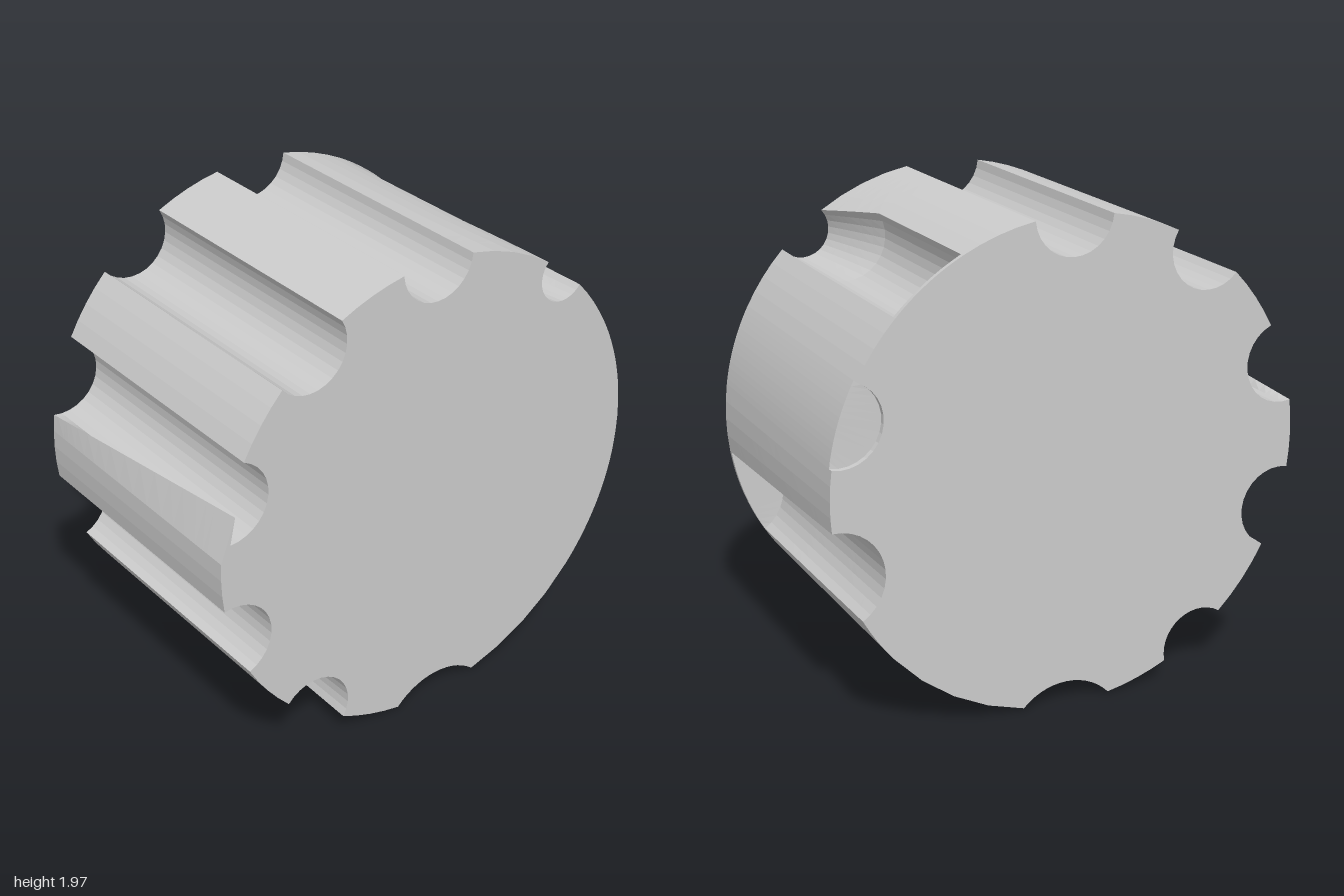
import * as THREE from 'three';

const CENTRE_Y = 0.98, ARC = 14, BODY = 4;
const rad = THREE.MathUtils.degToRad;
const mix = THREE.MathUtils.lerp;
const polar = (a, r = 1) => new THREE.Vector2(r * Math.cos(a), r * Math.sin(a));

// Flutes anticlockwise: front and back [angle, centre distance, radius];
// "open" gives the z range outside which the flute is plugged
const FLUTES = [
  { front: [18, 1, 0.17], open: [-1, -0.575] },
  { front: [50, 0.99, 0.115], back: [53, 1, 0.17], blendEnd: 0.2, open: [-0.58, 1] },
  { front: [90, 1, 0.165] },
  { front: [126, 1, 0.165] },
  { front: [162, 1, 0.17], fin: true },
  { front: [198, 1, 0.17] },
  { front: [234.5, 1, 0.165], back: [235.4, 1.05, 0.165] },
  { front: [272.5, 1.185, 0.285], back: [271, 1.16, 0.26] },
  { pocket: true },
  { front: [340, 1.03, 0.2], back: [343, 1.03, 0.2], open: [-1, 0.58] },
];

// Wedge-shaped scoop whose rim is a half disc along z
function pocketPoints(z) {
  const t = Math.sqrt(Math.max(0, 1 - (z / 0.52) ** 2));
  const end = rad(319.4), start = end - rad(18) * t;
  const top = polar(end);
  const foot = top.clone().lerp(new THREE.Vector2(0.47, -0.79), t);
  const points = [polar(start)];
  for (let i = 0; i < ARC; i++) points.push(foot.clone().lerp(top, i / (ARC - 1)));
  return { points, start, end };
}

// Circular cut into the round body, or the plain rim where it is plugged
function flutePoints(f, z) {
  if (f.pocket) return pocketPoints(z);
  const blend = THREE.MathUtils.clamp((0.6 - z) / (0.6 - (f.blendEnd ?? -0.6)), 0, 1);
  const [deg, d, r] = f.front.map((v, i) => mix(v, (f.back ?? f.front)[i], blend));
  const a = rad(deg);
  const h = Math.acos((1 + d * d - r * r) / (2 * d));
  const phi = Math.atan2(Math.sin(h), d - Math.cos(h));
  const open = !f.open || (z > f.open[0] && z < f.open[1]);
  const points = [];
  for (let i = 0; i <= ARC; i++) {
    const s = (2 * i) / ARC - 1, p = s * phi;
    points.push(open
      ? new THREE.Vector2(d - r * Math.cos(p), r * Math.sin(p)).rotateAround(new THREE.Vector2(), a)
      : polar(a + s * h));
  }
  // Lip that rises into the flute towards the front
  if (f.fin) points[ARC].lerp(new THREE.Vector2(-0.93, 0.25), (z + 0.6) / 1.2);
  return { points, start: a - h, end: a + h };
}

// Whole outline at one depth: flutes joined by rim facets
function outline(z) {
  const cuts = FLUTES.map((f) => flutePoints(f, z));
  const ring = [];
  cuts.forEach((cut, i) => {
    ring.push(...cut.points);
    const next = i + 1 < cuts.length ? cuts[i + 1].start : cuts[0].start + Math.PI * 2;
    for (let k = 1; k < BODY; k++) ring.push(polar(mix(cut.end, next, k / BODY)));
  });
  return ring;
}

function flutedGeometry() {
  const depths = [0.6, 0.581, 0.579, 0.52, 0.51, 0.48, 0.43, 0.36, 0.28, 0.2, 0.1, 0,
    -0.1, -0.2, -0.28, -0.36, -0.43, -0.48, -0.51, -0.52, -0.574, -0.576, -0.579, -0.581, -0.6];
  const rings = depths.map(outline);
  const n = rings[0].length;
  const position = [], index = [];
  rings.forEach((ring, i) => ring.forEach((p) => position.push(p.x, p.y, depths[i])));
  for (let i = 0; i < rings.length - 1; i++) {
    for (let j = 0; j < n; j++) {
      const k = (j + 1) % n, a = i * n + j, b = i * n + k;
      index.push(a, a + n, b, b, a + n, b + n);
    }
  }
  // Flat end faces
  const last = (rings.length - 1) * n;
  for (const [a, b, c] of THREE.ShapeUtils.triangulateShape(rings[0], [])) index.push(a, b, c);
  for (const [a, b, c] of THREE.ShapeUtils.triangulateShape(rings[rings.length - 1], [])) {
    index.push(last + a, last + c, last + b);
  }
  const geometry = new THREE.BufferGeometry();
  geometry.setAttribute('position', new THREE.Float32BufferAttribute(position, 3));
  geometry.setIndex(index);
  const flat = geometry.toNonIndexed();
  flat.computeVertexNormals();
  return flat;
}

export function createModel() {
  const model = new THREE.Group();
  model.name = 'flutedKnob';
  const body = new THREE.Mesh(
    flutedGeometry(),
    new THREE.MeshStandardMaterial({ color: 0xcccccc, flatShading: true }),
  );
  body.name = 'flutedBody';
  body.position.y = CENTRE_Y;
  model.add(body);
  return model;
}
